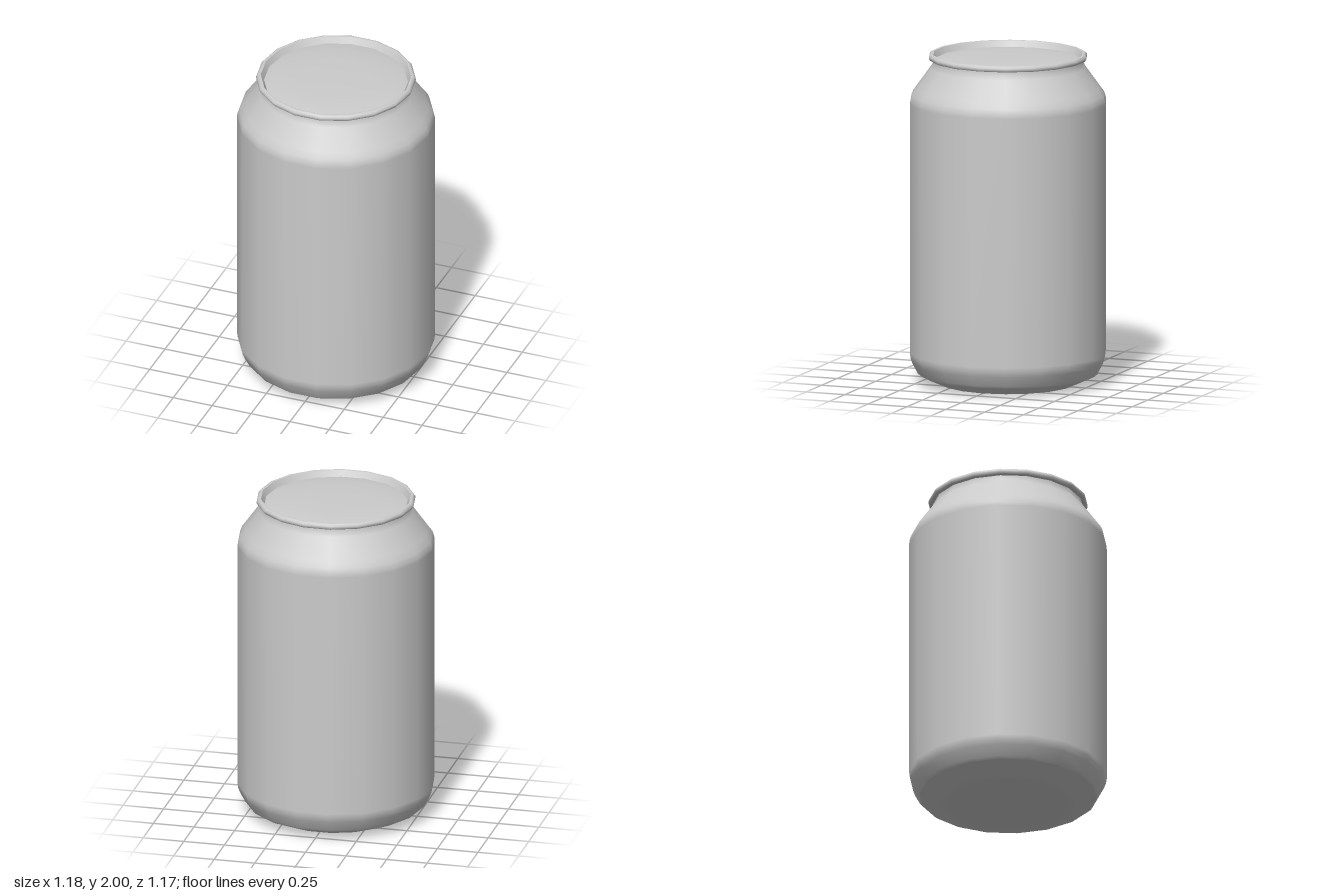
import * as THREE from 'three';

const SIDES = 18;
const material = new THREE.MeshStandardMaterial({ color: 0xcccccc });

// Smooth lathe of a profile, turned so a corner points along +x.
// Separate profiles leave a sharp edge where they meet.
function turned(name, profile) {
  const points = profile.map(([r, y]) => new THREE.Vector2(r, y));
  const geometry = new THREE.LatheGeometry(points, SIDES, Math.PI / 2);
  const mesh = new THREE.Mesh(geometry, material);
  mesh.name = name;
  return mesh;
}

export function createModel() {
  const can = new THREE.Group();
  can.name = 'drinkCan';

  // Underside: shallow dished centre, then the sloping foot ring
  can.add(turned('base', [[0, 0.02], [0.3, 0.015], [0.385, 0.003], [0.405, 0]]));
  can.add(turned('footRing', [[0.405, 0], [0.53, 0.055]]));

  // Wall with rounded lower edge, straight side, tapered shoulder and neck
  can.add(turned('body', [
    [0.53, 0.055], [0.545, 0.07], [0.577, 0.13], [0.588, 0.16], [0.592, 0.19],
    [0.592, 1.7], [0.59, 1.725], [0.58, 1.755], [0.555, 1.79],
    [0.465, 1.915], [0.452, 1.94], [0.45, 1.962],
  ]));

  // Rolled rim
  can.add(turned('rimUnderside', [[0.45, 1.962], [0.47, 1.964]]));
  can.add(turned('rim', [[0.47, 1.964], [0.477, 1.973], [0.477, 1.985], [0.469, 1.996], [0.46, 2], [0.45, 1.998]]));
  can.add(turned('rimInnerWall', [[0.45, 1.998], [0.43, 1.962]]));

  // Gently domed lid
  can.add(turned('lid', [[0.43, 1.962], [0.41, 1.966], [0.34, 1.976], [0.22, 1.983], [0, 1.984]]));

  return can;
}
